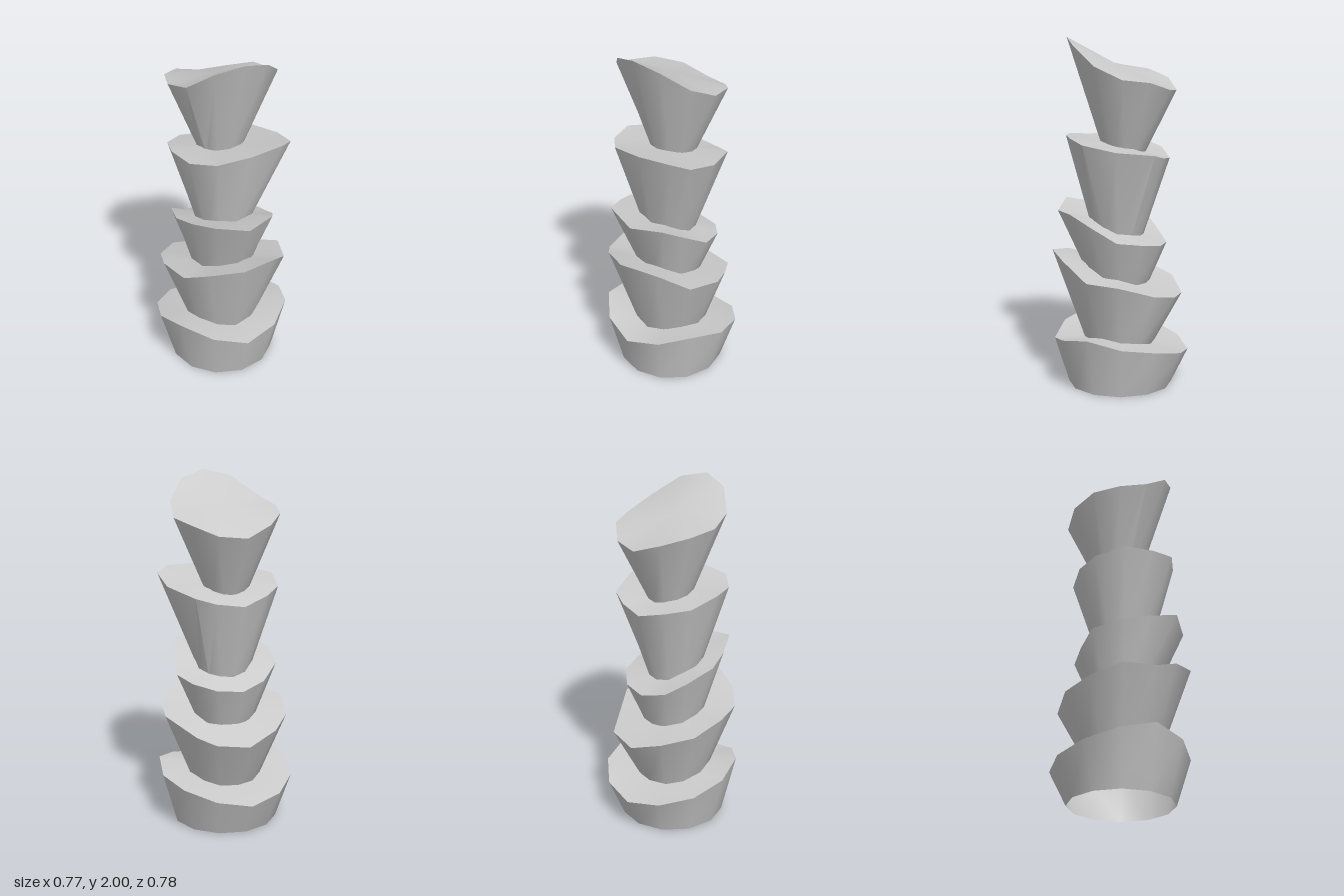
import * as THREE from 'three';
import { toCreasedNormals } from 'three/addons/utils/BufferGeometryUtils.js';

const SIDES = 12;

// Point k of a horizontal ring, counted from the front towards +x
function ringPoint(k, radius, y, z) {
  const a = (k / SIDES) * Math.PI * 2;
  return new THREE.Vector3(Math.sin(a) * radius, y, z + Math.cos(a) * radius);
}

// Flared, open-bottomed cup with a closed, ragged top.
// foot and top are [radius, z offset]; heights follow the rim; nudges shift single rim corners in x and z.
function segmentGeometry({ base, foot, top, heights, nudges = {} }) {
  const lower = heights.map((_, k) => ringPoint(k, foot[0], base, foot[1]));
  const rim = heights.map((h, k) => ringPoint(k, top[0], h, top[1]));
  for (const [k, [dx, dz]] of Object.entries(nudges)) rim[k].add(new THREE.Vector3(dx, 0, dz));

  const centre = new THREE.Vector3();
  rim.forEach((p) => centre.addScaledVector(p, 1 / SIDES));

  const corners = [];
  for (let k = 0; k < SIDES; k++) {
    const n = (k + 1) % SIDES;
    corners.push(lower[k], lower[n], rim[n], lower[k], rim[n], rim[k]); // wall
    corners.push(centre, rim[k], rim[n]); // top
  }
  return toCreasedNormals(new THREE.BufferGeometry().setFromPoints(corners), 0.7);
}

export function createModel() {
  const model = new THREE.Group();
  model.name = 'palmTrunk';
  const material = new THREE.MeshStandardMaterial({ color: 0xcccccc, side: THREE.DoubleSide });

  const addSegment = (name, shape) => {
    const mesh = new THREE.Mesh(segmentGeometry(shape), material);
    mesh.name = name;
    model.add(mesh);
  };

  addSegment('trunkBase', {
    base: 0, foot: [0.3, 0], top: [0.387, -0.006],
    heights: [0.26, 0.3, 0.34, 0.3, 0.27, 0.225, 0.19, 0.22, 0.26, 0.31, 0.355, 0.31],
  });

  addSegment('trunkSecond', {
    base: 0.25, foot: [0.2, 0], top: [0.363, 0.008],
    heights: [0.78, 0.76, 0.665, 0.65, 0.57, 0.55, 0.53, 0.59, 0.63, 0.69, 0.69, 0.745],
    nudges: { 0: [-0.03, 0.02], 4: [-0.062, -0.02], 11: [-0.03, -0.02] },
  });

  addSegment('trunkThird', {
    base: 0.61, foot: [0.17, 0], top: [0.285, 0.02],
    heights: [1.02, 1.03, 0.965, 0.885, 0.865, 0.84, 0.83, 0.865, 0.94, 0.985, 1.02, 1.06],
    nudges: { 0: [0.015, 0.05], 1: [0.045, 0.015], 8: [0, -0.04], 11: [-0.03, 0.045] },
  });

  addSegment('trunkFourth', {
    base: 0.87, foot: [0.14, 0.01], top: [0.305, 0.025],
    heights: [1.455, 1.465, 1.44, 1.4, 1.37, 1.34, 1.32, 1.36, 1.385, 1.425, 1.42, 1.44],
    nudges: { 0: [0.04, -0.025], 1: [0.09, -0.015], 2: [0.06, 0.03], 3: [0.03, 0], 4: [-0.01, -0.06], 8: [0, -0.02] },
  });

  addSegment('trunkTop', {
    base: 1.36, foot: [0.12, -0.025], top: [0.307, -0.009],
    heights: [2, 1.96, 1.86, 1.79, 1.77, 1.72, 1.705, 1.76, 1.8, 1.82, 1.86, 1.96],
  });

  return model;
}
